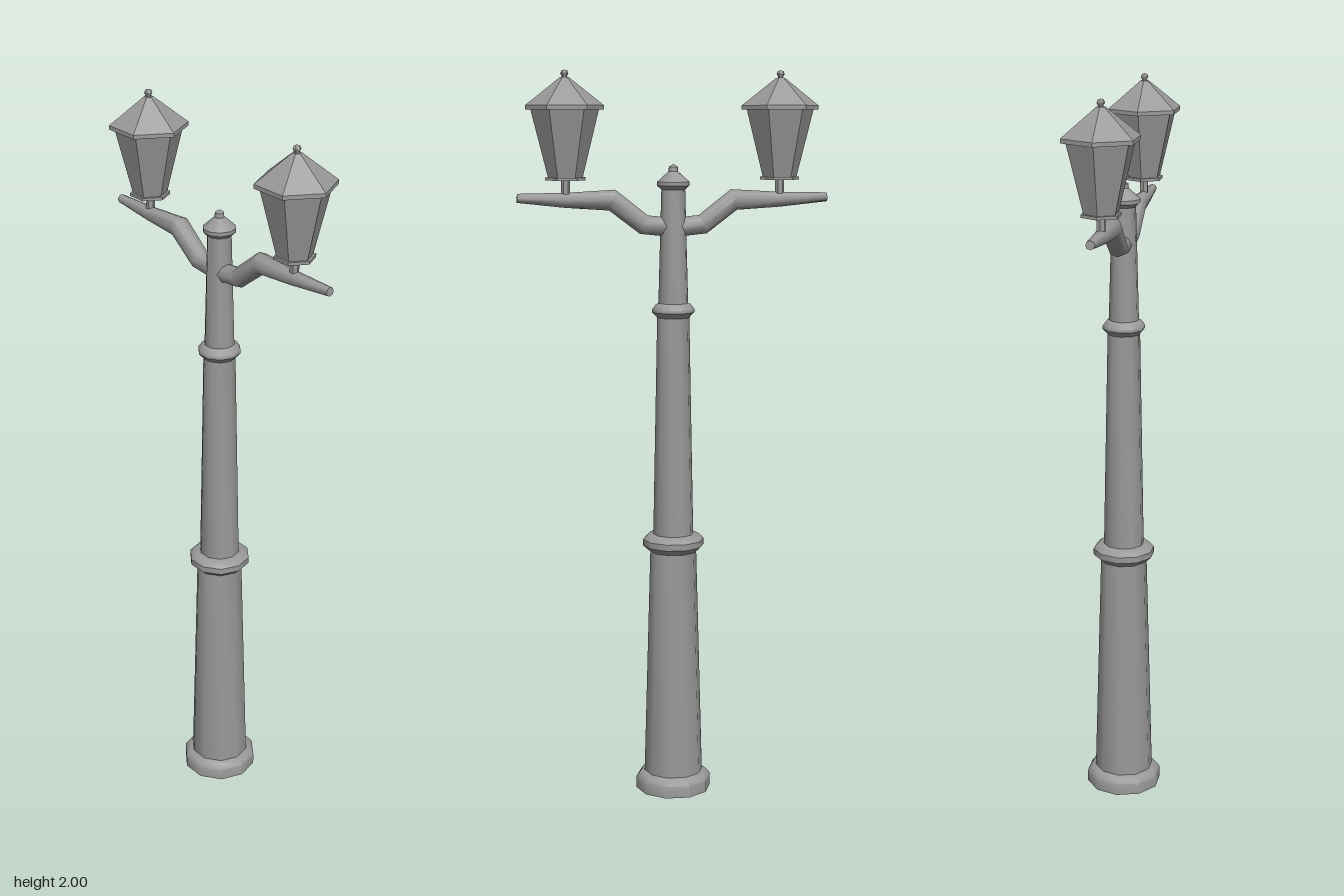
import * as THREE from 'three';
import { toCreasedNormals } from 'three/addons/utils/BufferGeometryUtils.js';

const metal = new THREE.MeshStandardMaterial({ color: 0x999999 });
metal.name = 'grey metal';

// Turned part from [radius, y] pairs, listed bottom to top, with a corner on the x axis
function turned(name, profile, sides, crease) {
  const points = profile.map(([r, y]) => new THREE.Vector2(r, y));
  const geometry = new THREE.LatheGeometry(points, sides, Math.PI / 2);
  const mesh = new THREE.Mesh(toCreasedNormals(geometry, crease), metal);
  mesh.name = name;
  return mesh;
}

// Tapered bent tube in the xy plane from [x, y, radius] stations
function bentArm(stations, sides) {
  const positions = [], index = [];
  const n = stations.length;
  stations.forEach(([x, y, r], i) => {
    const a = stations[Math.max(i - 1, 0)], b = stations[Math.min(i + 1, n - 1)];
    const t = new THREE.Vector2(b[0] - a[0], b[1] - a[1]).normalize();
    for (let j = 0; j < sides; j++) {
      const angle = (j / sides) * Math.PI * 2;
      const c = Math.cos(angle) * r;
      positions.push(x - t.y * c, y + t.x * c, Math.sin(angle) * r);
    }
  });
  for (let i = 0; i < n - 1; i++) {
    for (let j = 0; j < sides; j++) {
      const k = (j + 1) % sides;
      const a = i * sides + j, b = i * sides + k;
      index.push(a, b, a + sides, b, b + sides, a + sides);
    }
  }
  // Outer end cap
  const last = (n - 1) * sides;
  for (let j = 1; j < sides - 1; j++) index.push(last, last + j, last + j + 1);
  const geometry = new THREE.BufferGeometry();
  geometry.setAttribute('position', new THREE.Float32BufferAttribute(positions, 3));
  geometry.setIndex(index);
  return toCreasedNormals(geometry, 0.82);
}

export function createModel() {
  const model = new THREE.Group();
  model.name = 'streetLamp';

  // Foot, tapering post with two collars, and pointed cap
  model.add(turned('base', [
    [0, 0], [0.105, 0], [0.105, 0.033], [0.095, 0.046], [0.08, 0.052], [0, 0.052],
  ], 10, 0.7));
  model.add(turned('lowerPost', [[0.082, 0.045], [0.064, 0.70]], 10, 0.7));
  model.add(turned('lowerCollar', [
    [0.06, 0.685], [0.068, 0.69], [0.085, 0.705], [0.085, 0.722], [0.072, 0.735], [0.05, 0.738],
  ], 10, 0.7));
  model.add(turned('middlePost', [[0.056, 0.73], [0.044, 1.35]], 10, 0.7));
  model.add(turned('upperCollar', [
    [0.043, 1.338], [0.047, 1.342], [0.058, 1.354], [0.058, 1.362], [0.047, 1.376], [0.036, 1.38],
  ], 10, 0.7));
  model.add(turned('upperPost', [[0.041, 1.37], [0.032, 1.70]], 10, 0.7));
  model.add(turned('postCap', [
    [0.03, 1.682], [0.044, 1.695], [0.044, 1.705], [0.013, 1.733], [0.012, 1.745], [0, 1.753],
  ], 10, 0.7));

  const armGeometry = bentArm([
    [0, 1.583, 0.026], [0.08, 1.591, 0.027], [0.165, 1.657, 0.029],
    [0.29, 1.657, 0.02], [0.42, 1.663, 0.012],
  ], 8);

  // One arm and lantern on each side
  for (const [side, turn] of [['left', 0], ['right', Math.PI]]) {
    const branch = new THREE.Group();
    branch.name = side + 'Branch';
    branch.rotation.y = turn;
    const arm = new THREE.Mesh(armGeometry, metal);
    arm.name = side + 'Arm';

    const lantern = new THREE.Group();
    lantern.name = side + 'Lantern';
    lantern.position.x = 0.29;
    lantern.add(
      turned('lanternStem', [[0.012, 1.66], [0.012, 1.715]], 6, 0.2),
      turned('lanternPlate', [[0, 1.71], [0.054, 1.71], [0.054, 1.718], [0, 1.718]], 6, 0.2),
      turned('lanternBody', [[0, 1.716], [0.046, 1.716], [0.092, 1.90]], 6, 0.2),
      turned('lanternRoof', [
        [0, 1.896], [0.105, 1.896], [0.105, 1.907], [0.012, 1.98], [0, 1.98],
      ], 6, 0.2),
      turned('lanternFinial', [
        [0.007, 1.975], [0.007, 1.983], [0.011, 1.99], [0.008, 1.997], [0, 2.0],
      ], 6, 1.1),
    );
    branch.add(arm, lantern);
    model.add(branch);
  }
  return model;
}
